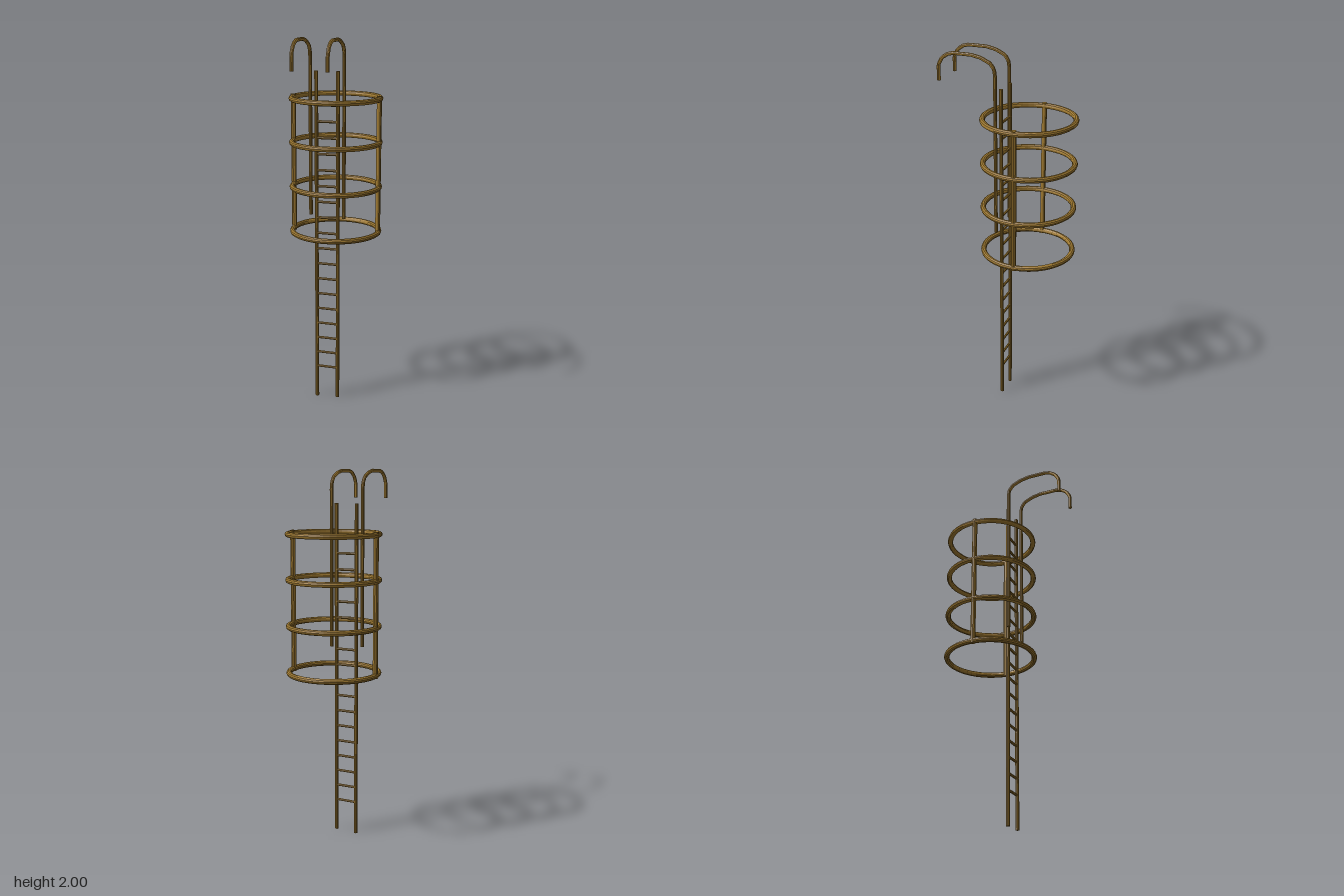
import * as THREE from 'three';

const material = new THREE.MeshStandardMaterial({ color: 0xa07a30, flatShading: true });

function addMesh(parent, name, geometry, x = 0, y = 0, z = 0) {
  const mesh = new THREE.Mesh(geometry, material);
  mesh.name = name;
  mesh.position.set(x, y, z);
  parent.add(mesh);
  return mesh;
}

// Upright round bar from y0 to y1
function addPost(parent, name, x, z, y0, y1, radius) {
  return addMesh(parent, name, new THREE.CylinderGeometry(radius, radius, y1 - y0, 10), x, (y0 + y1) / 2, z);
}

// Hooked handrail: rises behind the ladder top, bends forward and drops
function addHandrail(parent, name, x, bottom) {
  const rail = new THREE.Group();
  rail.name = name;
  const profile = [
    [bottom, 0.041], [1.90, 0.041], [1.93, 0.046], [1.957, 0.065], [1.98, 0.115],
    [1.99, 0.165], [1.99, 0.265], [1.982, 0.295], [1.962, 0.325], [1.925, 0.346], [1.845, 0.346],
  ];
  const path = new THREE.CurvePath();
  const points = profile.map(([y, z]) => new THREE.Vector3(x + (z - 0.041) * 0.012, y, z));
  for (let i = 1; i < points.length; i++) path.add(new THREE.LineCurve3(points[i - 1], points[i]));
  addMesh(rail, 'railTube', new THREE.TubeGeometry(path, 90, 0.0095, 10, false));
  // Caps on both downward-facing ends
  for (const p of [points[0], points[points.length - 1]]) {
    addMesh(rail, 'railCap', new THREE.CircleGeometry(0.0095, 10), p.x, p.y, p.z).rotation.x = Math.PI / 2;
  }
  parent.add(rail);
}

export function createModel() {
  const model = new THREE.Group();
  model.name = 'cagedLadder';

  // Ladder stiles and rungs
  const ladder = new THREE.Group();
  ladder.name = 'ladder';
  model.add(ladder);
  const left = 0.05, right = -0.068, ladderZ = 0.025;
  addPost(ladder, 'leftStile', left, ladderZ, 0.005, 1.822, 0.01);
  addPost(ladder, 'rightStile', right, ladderZ, 0, 1.822, 0.01);
  for (let i = 0; i < 18; i++) {
    const rung = addMesh(ladder, 'rung', new THREE.CylinderGeometry(0.007, 0.007, left - right, 8),
      (left + right) / 2, 0.181 + i * 0.0862, ladderZ);
    rung.rotation.z = Math.PI / 2;
  }

  // Safety cage: four hoops joined by two side bars
  const cage = new THREE.Group();
  cage.name = 'safetyCage';
  model.add(cage);
  for (const y of [0.943, 1.191, 1.434, 1.669]) {
    const hoop = addMesh(cage, 'hoop', new THREE.TorusGeometry(0.237, 0.0145, 10, 48), 0, y, -0.107);
    hoop.rotation.x = Math.PI / 2;
  }
  addPost(cage, 'leftCageBar', 0.234, -0.12, 0.93, 1.685, 0.0135);
  addPost(cage, 'rightCageBar', -0.237, -0.1, 0.93, 1.685, 0.0135);

  // Handrails
  addHandrail(model, 'leftHandrail', 0.087, 1.05);
  addHandrail(model, 'rightHandrail', -0.095, 1.062);

  return model;
}
